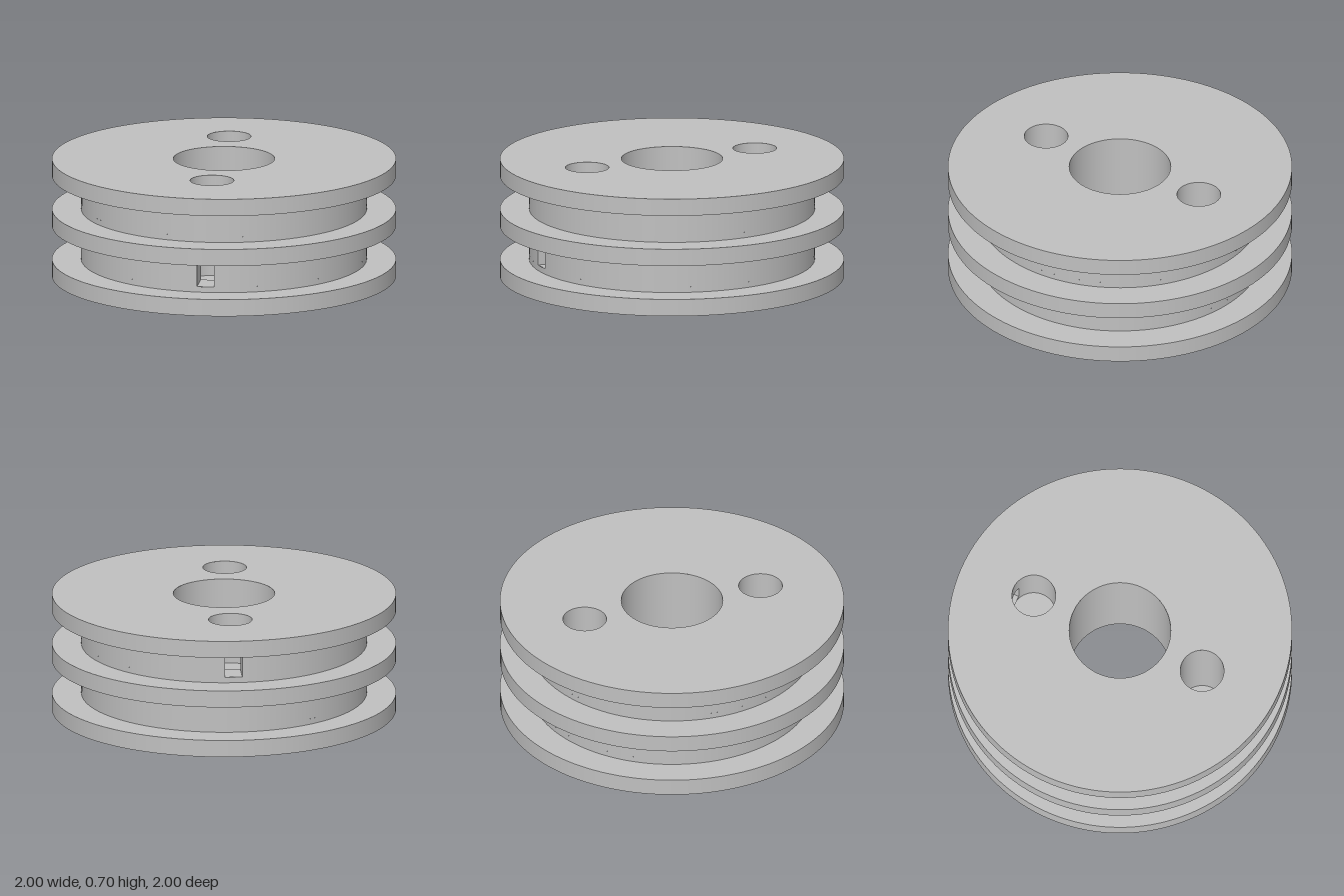
import * as THREE from 'three';

const HEIGHT = 0.7, RIM = 1, CORE = 0.83, BORE = 0.295, SEG = 128;
const SLOT_HALF = 0.05; // half width of the cord slots

// Deep holes sunk from the top; each one meets a slot in one groove
const cordHoles = [
  { x: -0.285, z: 0.457, r: 0.127, floor: 0.1, y0: 0.133, y1: 0.27 },
  { x: 0.253, z: -0.483, r: 0.127, floor: 0.4, y0: 0.433, y1: 0.57 },
];
// Blind holes in the underside
const screwHoles = [
  { x: 0.585, z: 0, r: 0.094, depth: 0.2 },
  { x: -0.585, z: 0, r: 0.094, depth: 0.2 },
];

// Turns a surface inside out
function inward(geo) {
  geo.setIndex(Array.from(geo.index.array).reverse());
  const n = geo.attributes.normal;
  for (let i = 0; i < n.array.length; i++) n.array[i] *= -1;
  return geo;
}

// Open cylinder wall between two heights, optionally missing an arc around gapAngle
function wall(r, y0, y1, gapAngle = 0, gapHalf = 0) {
  const geo = new THREE.CylinderGeometry(r, r, y1 - y0, SEG, 1, true,
    gapAngle + gapHalf, Math.PI * 2 - 2 * gapHalf);
  return geo.translate(0, (y0 + y1) / 2, 0);
}

// Wall in three bands, the middle one cut by a slot
function slottedWall(r, y0, y1, hole) {
  const angle = Math.atan2(hole.x, hole.z);
  return [
    wall(r, y0, hole.y0),
    wall(r, hole.y0, hole.y1, angle, Math.asin(SLOT_HALF / r)),
    wall(r, hole.y1, y1),
  ];
}

// Flat ring or disc facing up (dir 1) or down (dir -1)
function flat(inner, outer, y, dir) {
  const geo = inner > 0 ? new THREE.RingGeometry(inner, outer, SEG) : new THREE.CircleGeometry(outer, SEG);
  return geo.rotateX(-dir * Math.PI / 2).translate(0, y, 0);
}

// Full end face with the bore and round holes cut out
function endFace(holes, y, dir) {
  const shape = new THREE.Shape().absarc(0, 0, RIM, 0, Math.PI * 2);
  for (const h of [{ x: 0, z: 0, r: BORE }, ...holes]) {
    shape.holes.push(new THREE.Path().absarc(h.x, -dir * h.z, h.r, 0, Math.PI * 2, true));
  }
  return new THREE.ShapeGeometry(shape, SEG).rotateX(-dir * Math.PI / 2).translate(0, y, 0);
}

export function createModel() {
  const group = new THREE.Group();
  group.name = 'doubleGroovePulley';
  const grey = new THREE.MeshStandardMaterial({ color: 0xc0c0c0 });
  grey.name = 'grey';

  const addPart = (name, geometries, x = 0, z = 0) => {
    const part = new THREE.Group();
    part.name = name;
    part.position.set(x, 0, z);
    for (const geo of geometries) {
      const mesh = new THREE.Mesh(geo, grey);
      mesh.name = name + 'Surface';
      part.add(mesh);
    }
    group.add(part);
  };

  // Three flanges
  addPart('bottomFlange', [endFace(screwHoles, 0, -1), wall(RIM, 0, 0.1), flat(CORE, RIM, 0.1, 1)]);
  addPart('middleFlange', [flat(CORE, RIM, 0.3, -1), wall(RIM, 0.3, 0.4), flat(CORE, RIM, 0.4, 1)]);
  addPart('topFlange', [flat(CORE, RIM, 0.6, -1), wall(RIM, 0.6, HEIGHT), endFace(cordHoles, HEIGHT, 1)]);

  // Groove walls and the central bore
  addPart('lowerGroove', slottedWall(CORE, 0.1, 0.3, cordHoles[0]));
  addPart('upperGroove', slottedWall(CORE, 0.4, 0.6, cordHoles[1]));
  addPart('bore', [inward(wall(BORE, 0, HEIGHT))]);

  for (const h of cordHoles) {
    // Hole wall and floor
    addPart('cordHole', [...slottedWall(h.r, h.floor, HEIGHT, h).map(inward), flat(0, h.r, h.floor, 1)], h.x, h.z);

    // Radial slot joining the groove to the hole, open at both ends
    const near = Math.hypot(h.x, h.z) + Math.sqrt(h.r ** 2 - SLOT_HALF ** 2);
    const far = Math.sqrt(CORE ** 2 - SLOT_HALF ** 2);
    const slot = new THREE.BoxGeometry(2 * SLOT_HALF, h.y1 - h.y0, far - near);
    slot.setIndex(Array.from(slot.index.array).slice(0, 24));
    slot.clearGroups();
    slot.translate(0, (h.y0 + h.y1) / 2, (near + far) / 2).rotateY(Math.atan2(h.x, h.z));
    addPart('cordSlot', [inward(slot)]);
  }

  // Blind holes underneath
  for (const h of screwHoles) {
    addPart('screwHole', [inward(wall(h.r, 0, h.depth)), flat(0, h.r, h.depth, -1)], h.x, h.z);
  }
  return group;
}
